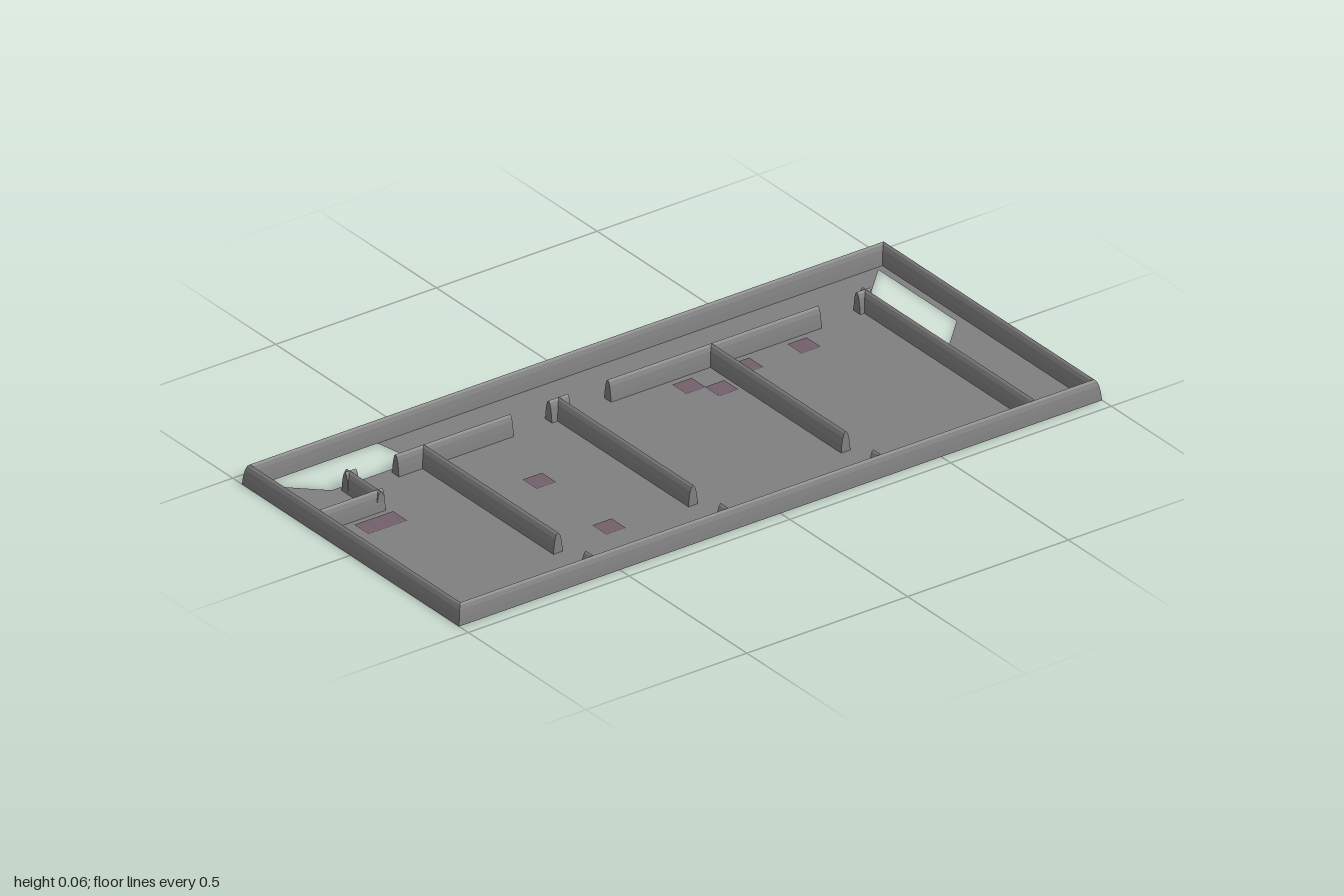
import * as THREE from 'three';

const wallMat = new THREE.MeshStandardMaterial({ name: 'wallGrey', color: 0x808080 });
const floorMat = new THREE.MeshStandardMaterial({ name: 'floorGrey', color: 0x808080, side: THREE.DoubleSide });
const tileMat = new THREE.MeshStandardMaterial({ name: 'tileMauve', color: 0x735f6a });

// Arched wall cross-section
const half = [[0.0145, 0], [0.0125, 0.022], [0.009, 0.042], [0.005, 0.053]];
const profile = new THREE.Shape([
  ...half.map(([x, y]) => new THREE.Vector2(x, y)),
  new THREE.Vector2(0, 0.058),
  ...half.slice().reverse().map(([x, y]) => new THREE.Vector2(-x, y)),
]);

// Straight wall between two floor points; mitred ends meet at right angles
function wall(name, x1, z1, x2, z2, mitre = false) {
  const dx = x2 - x1, dz = z2 - z1, length = Math.hypot(dx, dz);
  const geo = new THREE.ExtrudeGeometry(profile, { depth: length, bevelEnabled: false });
  if (mitre) {
    const p = geo.attributes.position;
    for (let i = 0; i < p.count; i++) {
      const atEnd = p.getZ(i) > length / 2;
      p.setZ(i, p.getZ(i) + (atEnd ? -p.getX(i) : p.getX(i)));
    }
    geo.computeVertexNormals();
  }
  const mesh = new THREE.Mesh(geo, wallMat);
  mesh.name = name;
  mesh.rotation.y = Math.atan2(dx, dz);
  mesh.position.set(x1, 0, z1);
  return mesh;
}

export function createModel() {
  const group = new THREE.Group();
  group.name = 'floorPlan';

  // Floor sheet with two openings (shape y becomes -z)
  const toPoints = (pts) => pts.map(([x, z]) => new THREE.Vector2(x, -z));
  const floorShape = new THREE.Shape(toPoints([[-0.99, 0.452], [0.99, 0.452], [0.99, -0.452], [-0.99, -0.452]]));
  floorShape.holes.push(
    new THREE.Path(toPoints([[-0.976, -0.436], [-0.6, -0.436], [-0.575, -0.302], [-0.837, -0.302]])),
    new THREE.Path(toPoints([[0.95, -0.42], [0.95, -0.088], [0.832, 0.03], [0.832, -0.302]])),
  );
  const floor = new THREE.Mesh(new THREE.ShapeGeometry(floorShape).rotateX(-Math.PI / 2), floorMat);
  floor.name = 'floor';
  group.add(floor);

  // Mitred outer walls
  const X = 0.9855, Z = 0.4465;
  const corners = [[-X, Z], [X, Z], [X, -Z], [-X, -Z]];
  ['frontWall', 'leftWall', 'backWall', 'rightWall'].forEach((name, i) => {
    group.add(wall(name, ...corners[i], ...corners[(i + 1) % 4], true));
  });

  // Corridor wall segments
  const corridorZ = -0.273;
  [[-0.817, -0.783], [-0.66, -0.303], [-0.184, -0.124], [0, 0.655], [0.775, 0.815]].forEach(([a, b]) => {
    group.add(wall('corridorWall', a, corridorZ, b, corridorZ));
  });

  // Room dividers with a door stub at the front wall
  [-0.572, -0.152, 0.323].forEach((x) => {
    group.add(wall('divider', x, corridorZ, x, 0.297));
    group.add(wall('doorStub', x, 0.414, x, Z));
  });
  group.add(wall('longDivider', 0.802, -0.286, 0.802, Z));

  // Small corner room
  group.add(wall('closetSide', -0.803, -0.286, -0.803, -0.14));
  group.add(wall('closetFront', -X, -0.152, -0.79, -0.152));

  // Coloured floor tiles: centre x, centre z, width
  const s = 0.06;
  [[0.206, -0.209, s], [0.265, -0.151, s], [0.385, -0.209, s], [0.564, -0.209, s],
    [-0.84, -0.09, 2 * s], [-0.39, -0.031, s], [-0.39, 0.265, s]].forEach(([x, z, w]) => {
    const tile = new THREE.Mesh(new THREE.PlaneGeometry(w, s).rotateX(-Math.PI / 2), tileMat);
    tile.name = 'floorTile';
    tile.position.set(x, 0.002, z);
    group.add(tile);
  });

  return group;
}
